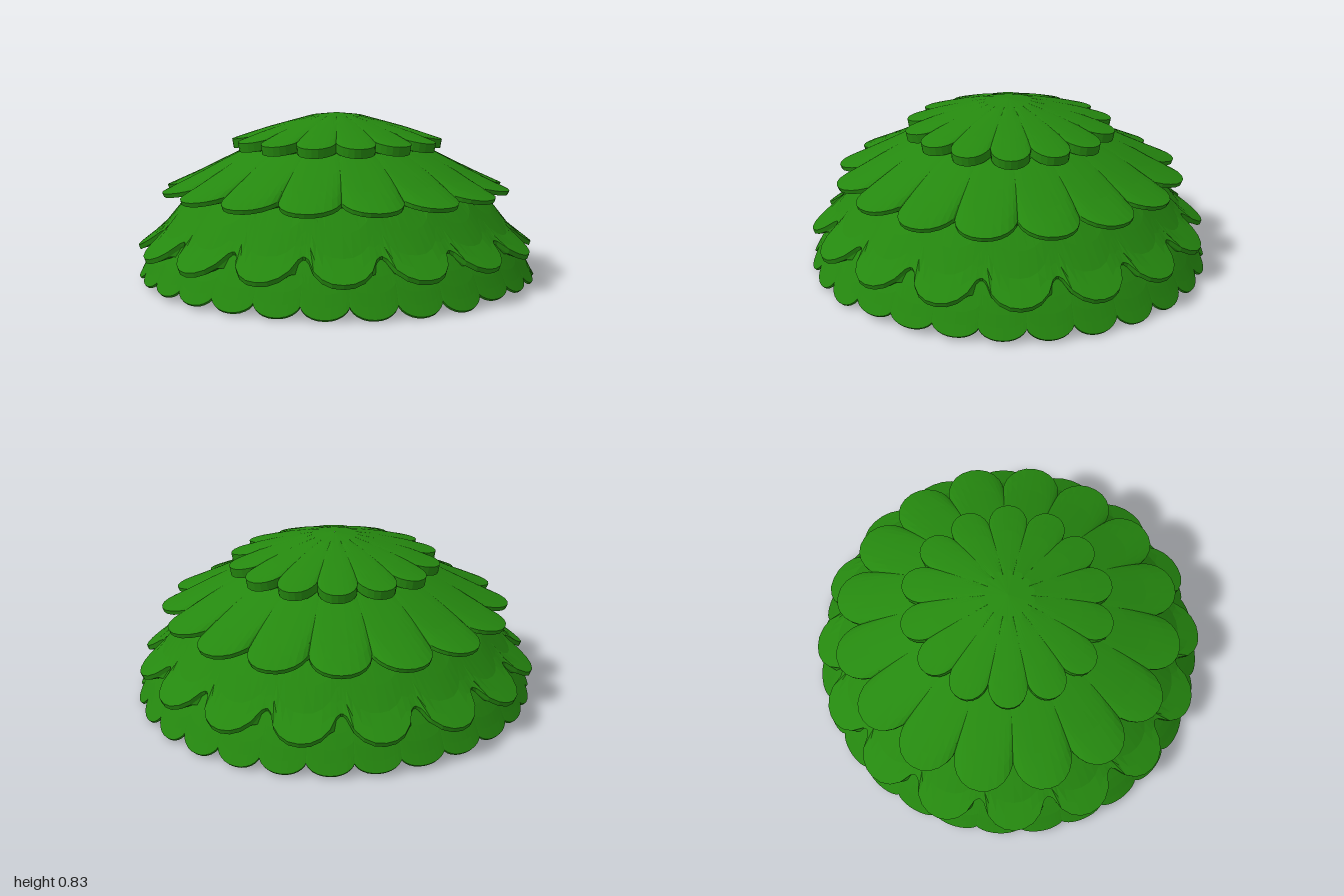
import * as THREE from 'three';

const green = new THREE.MeshStandardMaterial({ color: 0x25880f, flatShading: true });
green.name = 'leaf green';

// Height on a [radius, y] profile at a given radius
function heightAt(profile, r) {
  for (let i = 1; i < profile.length; i++) {
    const [r0, y0] = profile[i - 1], [r1, y1] = profile[i];
    if (r <= r1 || i === profile.length - 1) return y0 + (y1 - y0) * (r - r0) / (r1 - r0);
  }
}

// A sloping skirt with a scalloped, petal-shaped rim and a closed underside
function leafTier({ name, petals, phase, profile, notch, thick, under, crease, width, seed }) {
  const perPetal = 12, n = petals * perPetal;
  const tip = profile[profile.length - 1][0];
  const inner = profile[0][0];
  const fractions = [0, 0.25, 0.5, 0.7, 0.85, 1];
  const rings = fractions.length + 2;
  const pos = [], index = [];
  const wobble = (k) => Math.sin((k + 1) * 12.9 + seed * 7.3);

  for (let i = 0; i < rings; i++) {
    for (let j = 0; j < n; j++) {
      const petal = Math.floor(j / perPetal);
      const u = Math.sin(((j % perPetal) / perPetal - 0.5) * Math.PI); // -1..1 across the petal
      const s = Math.pow(Math.max(0, 1 - Math.pow(Math.abs(u) / width, 2.2)), 0.7);
      const a = phase + (petal + u / 2) * 2 * Math.PI / petals;
      const rim = notch + (tip - notch - 0.012 * (0.5 + 0.5 * wobble(petal))) * s;
      let r, y;
      if (i < fractions.length) {
        const t = fractions[i];
        r = inner + (rim - inner) * t;
        y = heightAt(profile, r) - crease * (1 - s) * t ** 4;
      } else if (i === fractions.length) {
        r = rim - 0.008;
        y = heightAt(profile, rim) - crease * (1 - s) - thick;
      } else {
        [r, y] = under;
      }
      pos.push(r * Math.cos(a), y, r * Math.sin(a));
    }
  }
  for (let i = 0; i < rings - 1; i++) {
    for (let j = 0; j < n; j++) {
      const k = (j + 1) % n;
      const a = i * n + j, b = i * n + k, c = a + n, d = b + n;
      index.push(a, b, c, b, d, c);
    }
  }
  const geo = new THREE.BufferGeometry();
  geo.setAttribute('position', new THREE.Float32BufferAttribute(pos, 3));
  geo.setIndex(index);
  geo.computeVertexNormals();
  const mesh = new THREE.Mesh(geo, green);
  mesh.name = name;
  return mesh;
}

export function createModel() {
  const group = new THREE.Group();
  group.name = 'layeredLeafDome';
  const quarter = Math.PI / 2;

  // Four overlapping tiers, top to bottom; the middle petals flare out of the dome wall
  const tiers = [
    { name: 'topTier', petals: 14, phase: quarter - 0.05, notch: 0.42, thick: 0.045, under: [0.4, 0.665], width: 1,
      profile: [[0.001, 0.83], [0.13, 0.815], [0.38, 0.745], [0.53, 0.695]], crease: 0.012 },
    { name: 'upperTier', petals: 16, phase: quarter, notch: 0.73, thick: 0.02, under: [0.71, 0.455], width: 1,
      profile: [[0.33, 0.7], [0.45, 0.655], [0.7, 0.53], [0.875, 0.45]], crease: 0.03 },
    { name: 'middleTier', petals: 16, phase: quarter + Math.PI / 16, notch: 0.872, thick: 0.022, under: [0.89, 0.19],
      width: 0.88, profile: [[0.6, 0.56], [0.73, 0.45], [0.82, 0.325], [0.87, 0.265], [1, 0.165]], crease: 0 },
    { name: 'bottomTier', petals: 28, phase: quarter, notch: 0.968, thick: 0.008, under: [0.893, 0.093], width: 1,
      profile: [[0.82, 0.31], [0.86, 0.26], [0.925, 0.155], [0.965, 0.075], [1, 0.01]], crease: 0.005 },
  ];
  tiers.forEach((t, i) => group.add(leafTier({ ...t, seed: i + 1 })));

  // Flat underside with a round socket in its centre
  const base = [[0, 0.17], [0.105, 0.17], [0.105, 0.093], [0.894, 0.093]].map(([r, y]) => new THREE.Vector2(r, y));
  const underside = new THREE.Mesh(new THREE.LatheGeometry(base, 48), green);
  underside.name = 'undersideWithSocket';
  group.add(underside);

  // Rest the lowest petal tips on the ground
  const box = new THREE.Box3().setFromObject(group);
  group.children.forEach((m) => { m.position.y -= box.min.y; });
  return group;
}
